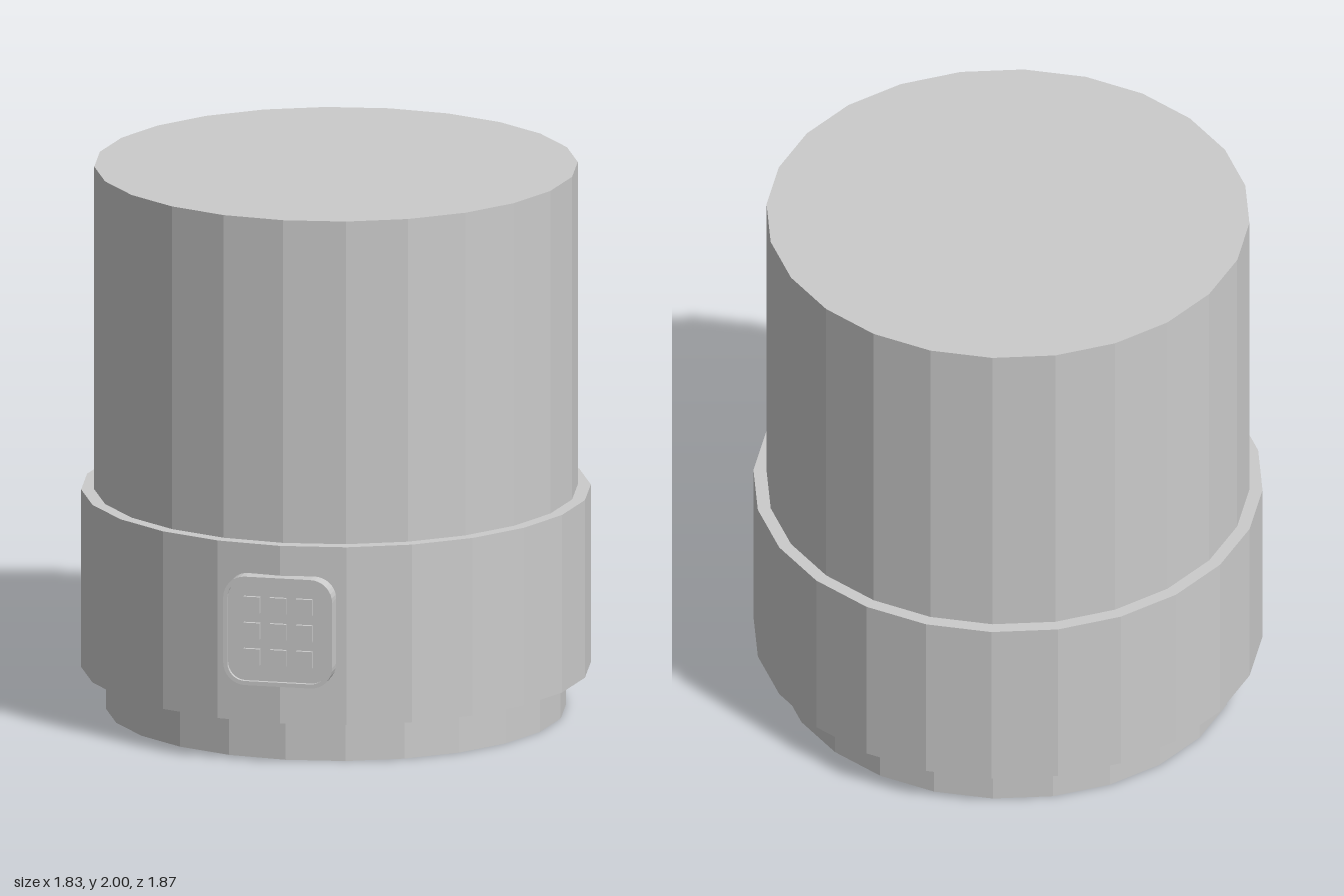
import * as THREE from 'three';

const SIDES = 24;
const AXIS_Z = -0.02; // the round housing sits slightly back to balance the keypad

function roundedSquare(size, radius, Path = THREE.Shape) {
  const h = size / 2, c = h - radius;
  const p = new Path();
  p.absarc(c, c, radius, 0, Math.PI / 2);
  p.absarc(-c, c, radius, Math.PI / 2, Math.PI);
  p.absarc(-c, -c, radius, Math.PI, Math.PI * 1.5);
  p.absarc(c, -c, radius, Math.PI * 1.5, Math.PI * 2);
  p.closePath();
  return p;
}

export function createModel() {
  const model = new THREE.Group();
  model.name = 'canister';
  const solid = new THREE.MeshStandardMaterial({ color: 0xcccccc, flatShading: true });
  const thin = new THREE.MeshStandardMaterial({ color: 0xcccccc, flatShading: true, side: THREE.DoubleSide });

  const add = (name, geometry, material, x, y, z, parent = model) => {
    const mesh = new THREE.Mesh(geometry, material);
    mesh.name = name;
    mesh.position.set(x, y, z);
    parent.add(mesh);
    return mesh;
  };

  // Tall closed drum
  add('body', new THREE.CylinderGeometry(0.867, 0.867, 1.19, SIDES), solid, 0, 1.405, AXIS_Z);

  // Thin hollow collar with a ledge above and below
  const collarProfile = [[0.825, 0.155], [0.914, 0.155], [0.914, 0.81], [0.867, 0.81]]
    .map(([r, y]) => new THREE.Vector2(r, y));
  add('collar', new THREE.LatheGeometry(collarProfile, SIDES), thin, 0, 0, AXIS_Z);

  // Open neck at the bottom
  add('neck', new THREE.CylinderGeometry(0.825, 0.825, 0.155, SIDES, 1, true), thin, 0, 0.0775, AXIS_Z);

  // Keypad block, passing through the collar wall
  const keypad = new THREE.Group();
  keypad.name = 'keypad';
  keypad.position.set(0, 0.5, 0.81);
  model.add(keypad);
  const extrude = (shape, depth) =>
    new THREE.ExtrudeGeometry(shape, { depth, bevelEnabled: false, curveSegments: 4 });
  add('keypadBlock', extrude(roundedSquare(0.4, 0.08), 0.11), solid, 0, 0, 0, keypad);

  // Raised rim around the keypad face
  const rim = roundedSquare(0.4, 0.08);
  rim.holes.push(roundedSquare(0.37, 0.065, THREE.Path));
  add('keypadRim', extrude(rim, 0.015), solid, 0, 0, 0.11, keypad);

  // Three by three grid of keys
  const keyGeometry = new THREE.BoxGeometry(0.06, 0.06, 0.015);
  for (let row = -1; row <= 1; row++) {
    for (let col = -1; col <= 1; col++) {
      add('key', keyGeometry, solid, col * 0.096, row * 0.096, 0.1165, keypad);
    }
  }
  return model;
}
